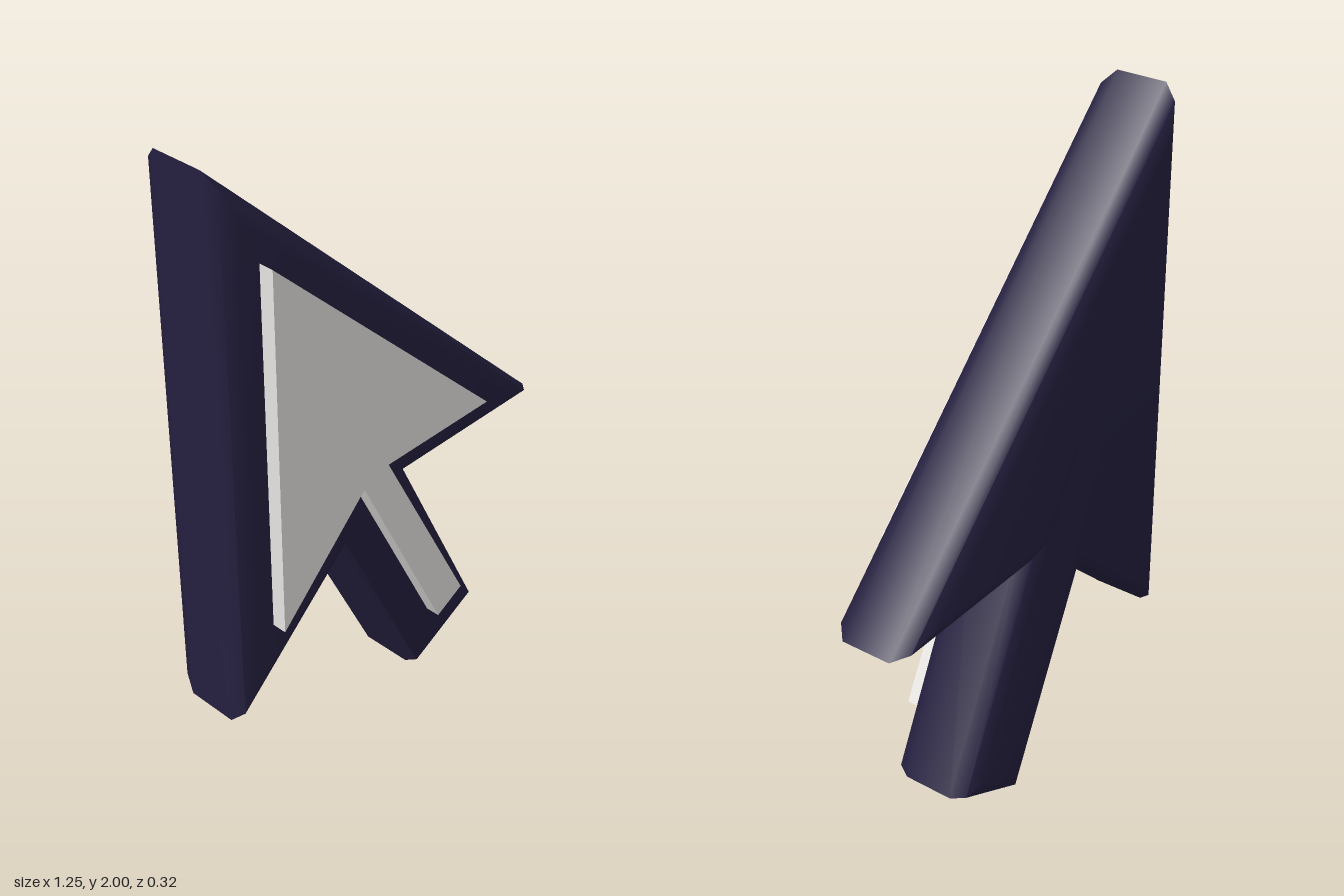
import * as THREE from 'three';
import { toCreasedNormals } from 'three/addons/utils/BufferGeometryUtils.js';

const toPoints = (list) => list.map(([x, y]) => new THREE.Vector2(x, y));

// Counter-clockwise outlines of the arrow body and the raised face plate
const BODY = toPoints([[-0.625, 2], [-0.625, 0.265], [-0.206, 0.647], [0.106, 0],
  [0.38, 0.14], [0.065, 0.79], [0.625, 0.79]]);
const PLATE = toPoints([[-0.503, 1.724], [-0.503, 0.578], [-0.187, 0.89], [0.138, 0.228],
  [0.24, 0.281], [-0.09, 0.923], [0.328, 0.923]]);

// Moves every edge of an outline inward by d, with fully mitred corners
function inset(points, d) {
  const n = points.length;
  const normal = (a, b) => new THREE.Vector2(a.y - b.y, b.x - a.x).normalize();
  return points.map((p, i) => {
    const n1 = normal(points[(i + n - 1) % n], p);
    const n2 = normal(p, points[(i + 1) % n]);
    return n1.clone().add(n2).multiplyScalar(d / (1 + n1.dot(n2))).add(p);
  });
}

// Slab with rounded rims, lofted from inset outlines between back and front
function bevelledSlab(points, back, front, size, depth, segments) {
  const n = points.length;
  const rings = [];
  for (let s = 0; s <= segments; s++) {
    const a = (s / segments) * Math.PI / 2;
    rings.push({ d: size * (1 - Math.sin(a)), z: back + depth * (1 - Math.cos(a)) });
  }
  for (let s = segments; s >= 0; s--) {
    rings.push({ d: rings[s].d, z: front - (rings[s].z - back) });
  }

  const positions = [];
  const index = [];
  rings.forEach(({ d, z }) => inset(points, d).forEach((p) => positions.push(p.x, p.y, z)));
  for (let k = 0; k < rings.length - 1; k++) {
    for (let i = 0; i < n; i++) {
      const j = (i + 1) % n;
      const a = k * n + i, b = k * n + j;
      index.push(a, b, b + n, a, b + n, a + n);
    }
  }
  // Flat back and front
  const last = (rings.length - 1) * n;
  THREE.ShapeUtils.triangulateShape(inset(points, size), []).forEach(([a, b, c]) => {
    index.push(a, c, b, last + a, last + b, last + c);
  });

  const geometry = new THREE.BufferGeometry();
  geometry.setAttribute('position', new THREE.Float32BufferAttribute(positions, 3));
  geometry.setIndex(index);
  return toCreasedNormals(geometry, 0.9);
}

export function createModel() {
  const group = new THREE.Group();
  group.name = 'arrowPointer';

  // Dark bevelled arrow
  const body = new THREE.Mesh(
    bevelledSlab(BODY, -0.16, 0.115, 0.06, 0.058, 2),
    new THREE.MeshStandardMaterial({ color: 0x252040 }),
  );
  body.name = 'arrowBody';

  // Pale sharp-edged plate on the front
  const plateGeometry = new THREE.ExtrudeGeometry(new THREE.Shape(PLATE), { depth: 0.06, bevelEnabled: false });
  plateGeometry.translate(0, 0, 0.1);
  const plate = new THREE.Mesh(plateGeometry, new THREE.MeshStandardMaterial({ color: 0xe6e4e1 }));
  plate.name = 'facePlate';

  group.add(body, plate);
  return group;
}
